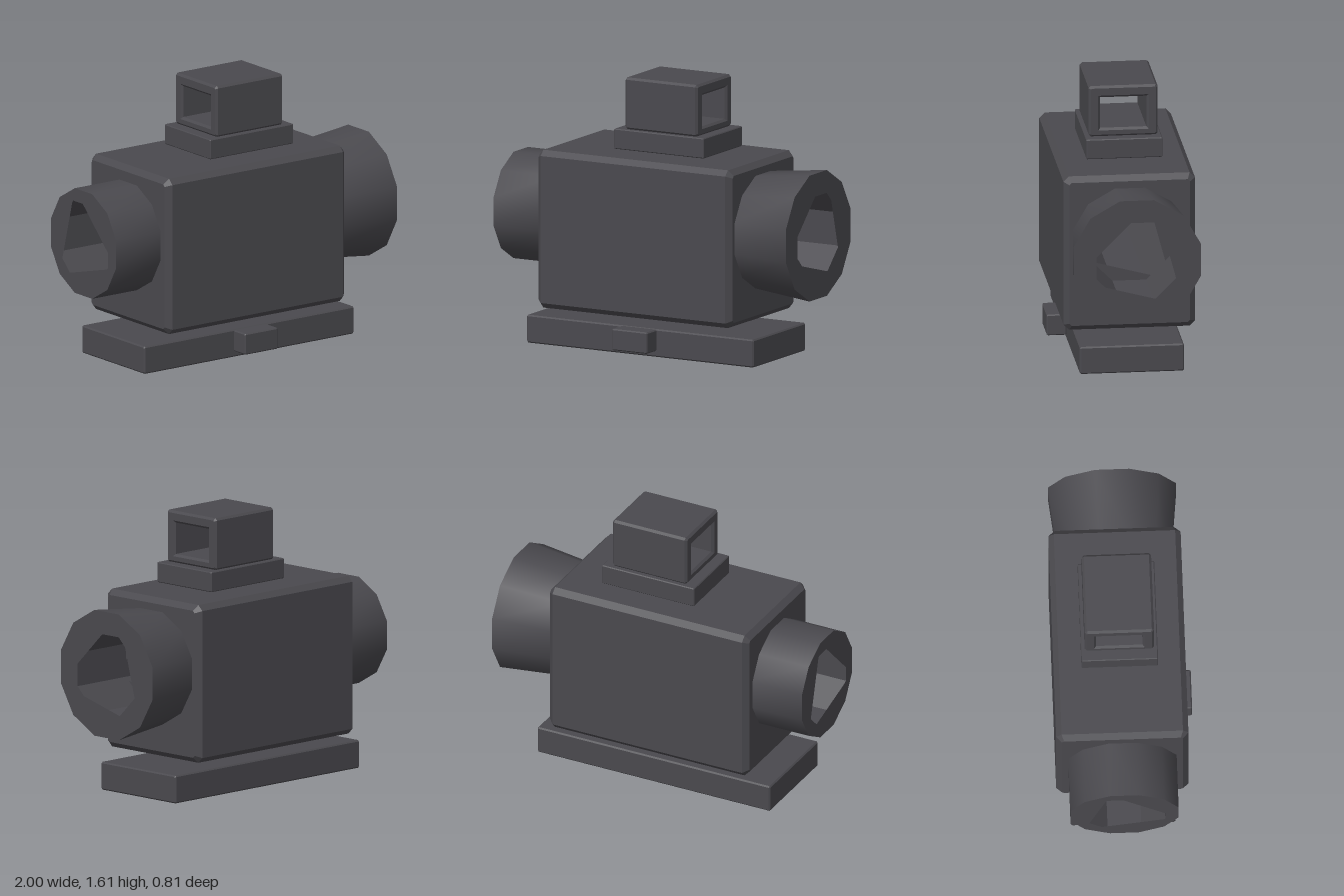
import * as THREE from 'three';
import { toCreasedNormals } from 'three/addons/utils/BufferGeometryUtils.js';

const AXIS_Y = 0.757, AXIS_Z = -0.02; // centre line of the bore
const BORE = 0.257;                   // corner radius of the octagonal bore

// Regular polygon with flat top and sides, given as points
function polygon(n, r, cx = 0, cy = 0) {
  return Array.from({ length: n }, (_, i) => {
    const a = ((i + 0.5) / n) * Math.PI * 2;
    return new THREE.Vector2(cx + r * Math.cos(a), cy + r * Math.sin(a));
  });
}

// Extrudes a (-z, y) profile along x between x0 and x1, with chamfered ends
function extrudeX(shape, x0, x1, bevel = 0) {
  const g = new THREE.ExtrudeGeometry(shape, {
    depth: x1 - x0 - 2 * bevel, bevelEnabled: bevel > 0, bevelThickness: bevel,
    bevelSize: bevel, bevelOffset: -bevel, bevelSegments: 1, curveSegments: 1,
  });
  return g.translate(0, 0, x0 + bevel).rotateY(Math.PI / 2);
}

// Box with all edges chamfered and an optional hole along x
function chamferBox([x0, x1], [y0, y1], [z0, z1], c, hole) {
  const l = -z1, r = -z0;
  const shape = new THREE.Shape([
    [l + c, y0], [r - c, y0], [r, y0 + c], [r, y1 - c],
    [r - c, y1], [l + c, y1], [l, y1 - c], [l, y0 + c],
  ].map(([x, y]) => new THREE.Vector2(x, y)));
  if (hole) shape.holes.push(new THREE.Path(hole));
  return extrudeX(shape, x0, x1, c);
}

// Twelve-sided tube with an octagonal bore; rAt gives the outer radius at x
function barrel(x0, x1, rAt) {
  const shape = new THREE.Shape(polygon(12, 1));
  shape.holes.push(new THREE.Path(polygon(8, BORE)));
  const g = extrudeX(shape, x0, x1);
  const p = g.attributes.position;
  for (let i = 0; i < p.count; i++) {
    if (Math.hypot(p.getY(i), p.getZ(i)) < 0.5) continue;
    const r = rAt(p.getX(i));
    p.setY(i, p.getY(i) * r);
    p.setZ(i, p.getZ(i) * r);
  }
  return toCreasedNormals(g.translate(0, AXIS_Y, AXIS_Z), 0.6);
}

export function createModel() {
  const group = new THREE.Group();
  const darkGrey = new THREE.MeshStandardMaterial({ color: 0x4a494e });
  darkGrey.name = 'darkGrey';
  const add = (name, geometry) => {
    geometry.computeBoundingBox();
    const mesh = new THREE.Mesh(geometry, darkGrey);
    mesh.name = name;
    group.add(mesh);
  };

  // Main housing, bored through lengthwise
  add('housing', chamferBox([-0.675, 0.63], [0.23, 1.165], [-0.405, 0.365], 0.032,
    polygon(8, BORE, -AXIS_Z, AXIS_Y)));

  // Straight tube on one end, flared one on the other
  add('straightTube', barrel(-1, -0.64, () => 0.326));
  add('flaredTube', barrel(0.598, 1, (x) => 0.345 + ((x - 0.63) / 0.37) * 0.041));

  // Sight on top: foot and open rectangular hood
  add('sightFoot', chamferBox([-0.245, 0.36], [1.188, 1.307], [-0.243, 0.203], 0.005));
  const window = [[-0.115, 1.357], [0.155, 1.357], [0.155, 1.543], [-0.115, 1.543]]
    .map(([x, y]) => new THREE.Vector2(x, y));
  add('sightHood', chamferBox([-0.185, 0.303], [1.305, 1.613], [-0.222, 0.182], 0.013, window));

  // Mounting plate below with its clamp knob at the front
  add('mountPlate', chamferBox([-0.785, 0.74], [0, 0.165], [-0.325, 0.285], 0.008));
  add('clampKnob', chamferBox([-0.143, 0.096], [0.038, 0.165], [0.288, 0.405], 0.007));

  return group;
}
